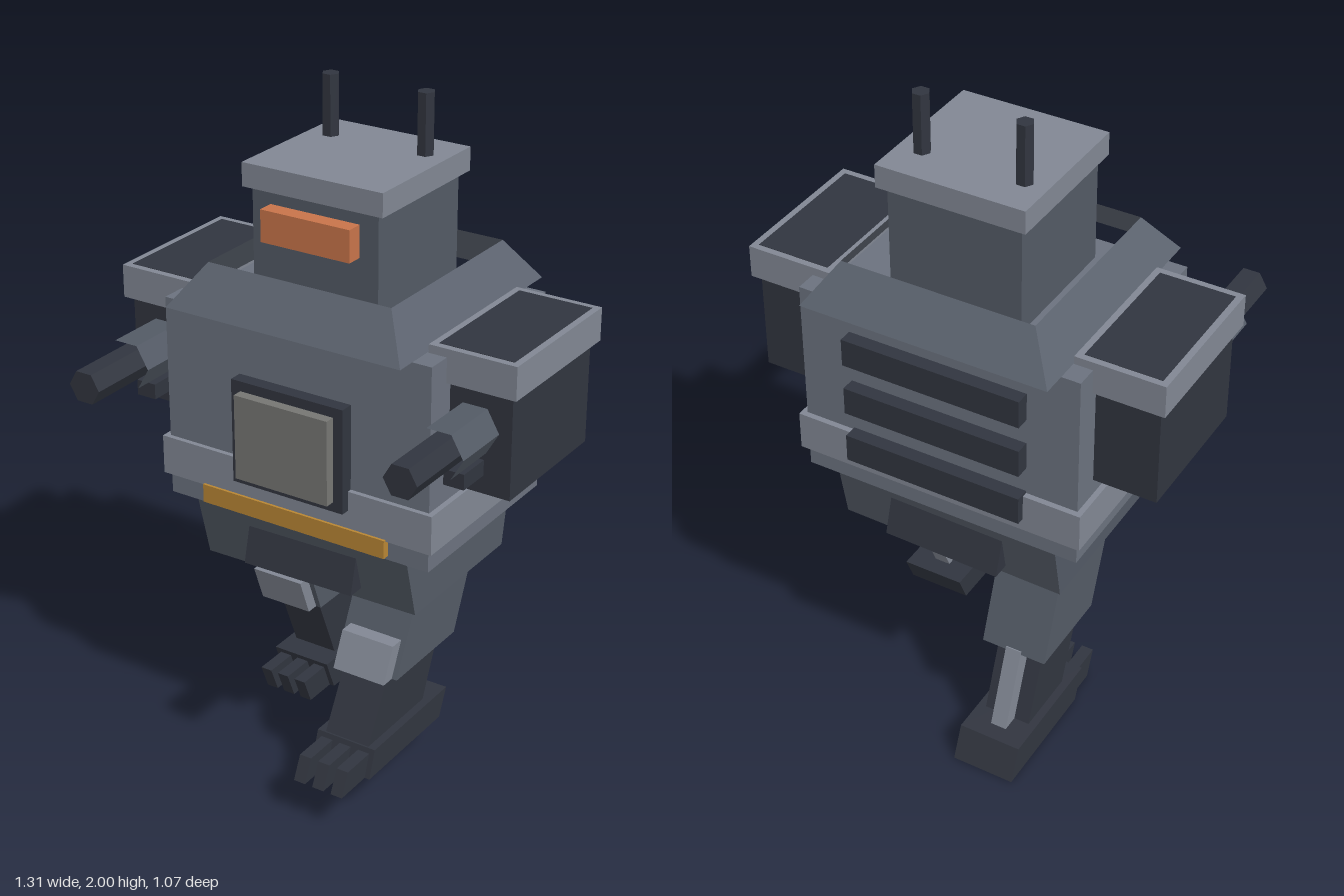
import * as THREE from 'three';

const mat = (color, side = THREE.FrontSide) =>
  new THREE.MeshStandardMaterial({ color, side, flatShading: true });
const LIGHT = mat(0x818793), HULL = mat(0x6b727e), STEEL = mat(0x535a65), DARK = mat(0x31353f);
const ORANGE = mat(0xc8744a), YELLOW = mat(0xb88634), PANE = mat(0x767673);
const COLLAR = mat(0x5c636f, THREE.DoubleSide);

export function createModel() {
  const root = new THREE.Group();
  const add = (name, geo, m, parent = root) => {
    const mesh = new THREE.Mesh(geo, m);
    mesh.name = name;
    parent.add(mesh);
    return mesh;
  };

  // Box given by its limits on each axis
  const box = (name, m, [x0, x1], [y0, y1], [z0, z1], parent) =>
    add(name, new THREE.BoxGeometry(x1 - x0, y1 - y0, z1 - z0)
      .translate((x0 + x1) / 2, (y0 + y1) / 2, (z0 + z1) / 2), m, parent);

  // Box whose z limits differ between its bottom and its top
  const slant = (name, m, xs, ys, zBottom, zTop, parent) => {
    const mesh = box(name, m, xs, ys, [0, 1], parent);
    const p = mesh.geometry.attributes.position;
    for (let i = 0; i < p.count; i++) {
      const zs = p.getY(i) > (ys[0] + ys[1]) / 2 ? zTop : zBottom;
      p.setZ(i, zs[p.getZ(i) > 0.5 ? 1 : 0]);
    }
    mesh.geometry.computeVertexNormals();
    return mesh;
  };

  // Six-sided rod along y, with corners on the x axis
  const hexRod = (r, length, open = false) =>
    new THREE.CylinderGeometry(r, r, length, 6, 1, open, Math.PI / 2);

  // Head
  box('head', STEEL, [-0.205, 0.205], [1.42, 1.76], [-0.265, 0.15]);
  box('headCap', LIGHT, [-0.228, 0.228], [1.75, 1.82], [-0.288, 0.167]);
  box('visor', ORANGE, [-0.145, 0.145], [1.615, 1.71], [0.14, 0.2]);
  for (const s of [-1, 1])
    add('antenna', hexRod(0.026, 0.2), DARK).position.set(s * 0.156, 1.9, -0.165);

  // Open sloping collar: four walls without caps
  const collar = new THREE.CylinderGeometry(Math.SQRT1_2, Math.SQRT1_2, 0.125, 4, 1, true, Math.PI / 4).toNonIndexed();
  const cp = collar.attributes.position;
  for (let i = 0; i < cp.count; i++) {
    const top = cp.getY(i) > 0;
    cp.setX(i, Math.sign(cp.getX(i)) * (top ? 0.3 : 0.385));
    cp.setZ(i, cp.getZ(i) > 0 ? (top ? 0.235 : 0.325) : (top ? -0.36 : -0.447));
  }
  collar.computeVertexNormals();
  add('collar', collar, COLLAR).position.y = 1.4725;

  // Torso
  box('torso', HULL, [-0.44, 0.44], [0.785, 1.405], [-0.367, 0.255]);
  box('belt', LIGHT, [-0.457, 0.457], [0.85, 0.97], [-0.385, 0.27]);
  box('beltStripe', YELLOW, [-0.31, 0.31], [0.798, 0.855], [0.245, 0.278]);
  box('windowFrame', DARK, [-0.186, 0.186], [0.91, 1.23], [0.245, 0.297]);
  box('windowPane', PANE, [-0.155, 0.155], [0.94, 1.2], [0.285, 0.328]);
  for (let i = 0; i < 3; i++)
    box('backVent', DARK, [-0.28, 0.28], [0.89 + i * 0.167, 0.977 + i * 0.167], [-0.41, -0.36]);

  // Pelvis with an armour plate front and back, leaning slightly with the stride
  const pelvis = new THREE.Group();
  pelvis.name = 'pelvis';
  pelvis.position.y = 0.69;
  pelvis.rotation.z = 0.015;
  root.add(pelvis);
  slant('pelvisBlock', STEEL, [-0.36, 0.36], [-0.105, 0.105], [-0.305, 0.19], [-0.35, 0.24], pelvis);
  slant('frontPlate', DARK, [-0.185, 0.185], [-0.065, 0.063], [0.19, 0.255], [0.15, 0.22], pelvis);
  slant('backPlate', DARK, [-0.185, 0.185], [-0.07, 0.065], [-0.368, -0.3], [-0.33, -0.26], pelvis);

  // Arms: box, shoulder pad and guns
  for (const s of [-1, 1]) {
    const arm = new THREE.Group();
    arm.name = s > 0 ? 'leftArm' : 'rightArm';
    arm.position.x = s * 0.518;
    root.add(arm);
    box('armBox', DARK, [-0.115, 0.115], [1.02, 1.431], [-0.28, 0.157], arm);
    box('shoulderPad', LIGHT, [-0.135, 0.135], [1.33, 1.43], [-0.3, 0.178], arm);
    const sleeve = add('gunSleeve', hexRod(0.076, 0.2, true), STEEL, arm);
    sleeve.position.set(0, 1.21, 0.245);
    const barrel = add('gunBarrel', hexRod(0.052, 0.4), DARK, arm);
    barrel.position.set(0, 1.21, 0.335);
    sleeve.rotation.x = barrel.rotation.x = Math.PI / 2;
    box('smallGun', DARK, [-0.032, 0.032], [1.075, 1.122], [0.15, 0.262], arm);
  }

  // Legs: slanted blocks, one striding forward and one back
  const leg = (name, x, foot, thigh, pad, shin, piston, footZ, toeZ) => {
    const g = new THREE.Group();
    g.name = name;
    g.position.x = x;
    root.add(g);
    const w = (h) => [-h, h];
    slant('thigh', STEEL, w(0.103), ...thigh, g);
    slant('kneePad', LIGHT, w(0.086), ...pad, g);
    slant('shin', DARK, w(0.073), ...shin, g);
    slant('piston', LIGHT, w(0.025), ...piston, g);
    slant('foot', DARK, w(0.098), [foot, foot + 0.1 - (foot ? 0.015 : 0)], ...footZ, g);
    for (const t of [-0.063, 0, 0.063])
      slant('toe', DARK, [t - 0.019, t + 0.019], [foot, foot + (foot ? 0.07 : 0.083)], ...toeZ, g);
  };
  leg('leftLeg', 0.228, 0.12,
    [[0.385, 0.65], [-0.085, 0.235], [-0.2, 0.11]],
    [[0.385, 0.49], [0.22, 0.278], [0.17, 0.23]],
    [[0.19, 0.4], [0.045, 0.345], [-0.045, 0.23]],
    [[0.19, 0.4], [0.01, 0.06], [-0.085, -0.03]],
    [[-0.018, 0.37], [-0.056, 0.342]],
    [[0.35, 0.49], [0.33, 0.458]]);
  leg('rightLeg', -0.232, 0,
    [[0.33, 0.65], [-0.35, -0.06], [-0.235, 0.06]],
    [[0.33, 0.45], [-0.075, -0.02], [-0.03, 0.025]],
    [[0.09, 0.34], [-0.39, -0.185], [-0.295, -0.085]],
    [[0.09, 0.34], [-0.442, -0.38], [-0.35, -0.285]],
    [[-0.532, -0.14], [-0.49, -0.1]],
    [[-0.16, -0.032], [-0.12, 0.002]]);

  return root;
}
